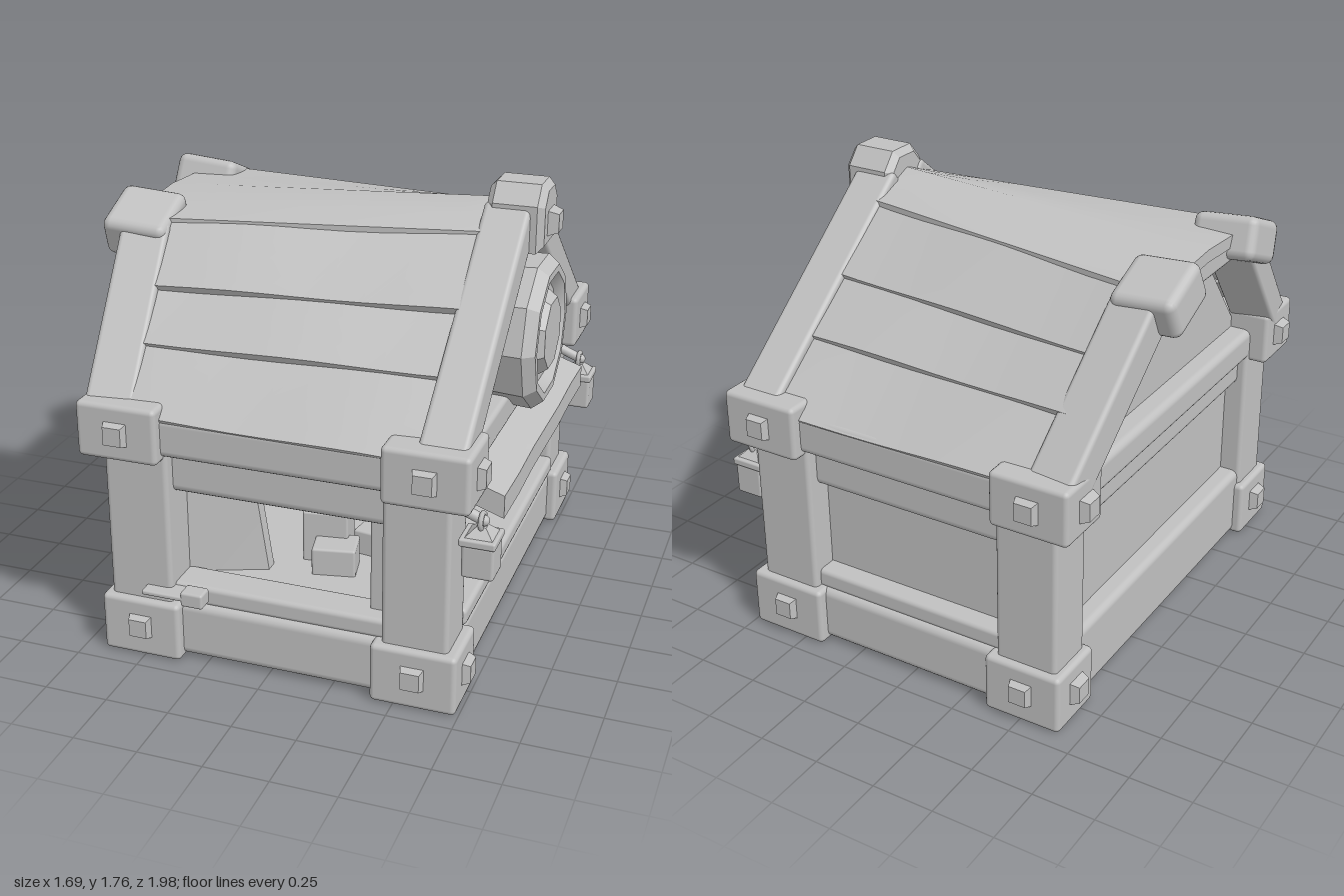
import * as THREE from 'three';
import { toCreasedNormals } from 'three/addons/utils/BufferGeometryUtils.js';
import { RoundedBoxGeometry } from 'three/addons/geometries/RoundedBoxGeometry.js';

const clay = new THREE.MeshStandardMaterial({ color: 0xc0c0c0 });
clay.name = 'clay grey';
const { lerp } = THREE.MathUtils;

export function createModel() {
  const model = new THREE.Group();
  model.name = 'marketStall';

  const add = (name, geometry) => {
    const mesh = new THREE.Mesh(geometry, clay);
    mesh.name = name;
    model.add(mesh);
    return mesh;
  };
  // Soft-edged box given by its limits on each axis
  const block = (name, x0, x1, y0, y1, z0, z1, r = 0.015) => {
    const mesh = add(name, new RoundedBoxGeometry(x1 - x0, y1 - y0, z1 - z0, 2, r));
    mesh.position.set((x0 + x1) / 2, (y0 + y1) / 2, (z0 + z1) / 2);
    return mesh;
  };
  // Same box, mirrored to the other side when s = -1
  const sideBlock = (name, s, x0, x1, y0, y1, z0, z1, r) =>
    block(name, x0, x1, y0, y1, s > 0 ? z0 : -z1, s > 0 ? z1 : -z0, r);
  // Timber running between two points
  const beam = (name, a, b, w, h) => {
    const from = new THREE.Vector3(...a), to = new THREE.Vector3(...b);
    const mesh = add(name, new RoundedBoxGeometry(w, h, from.distanceTo(to), 2, 0.02));
    mesh.position.copy(from).lerp(to, 0.5);
    mesh.lookAt(to);
    return mesh;
  };
  // Square peg with a chamfered head, pointing along an axis
  const peg = (x, y, z, dx, dz) => {
    const g = new THREE.CylinderGeometry(0.05, 0.076, 0.06, 4).rotateY(Math.PI / 4);
    const mesh = add('peg', toCreasedNormals(g, 0.4));
    mesh.position.set(x, y, z);
    mesh.quaternion.setFromUnitVectors(new THREE.Vector3(0, 1, 0), new THREE.Vector3(dx, 0, dz));
  };
  // Box reshaped by a rule
  const morph = (name, nx, nz, rule) => {
    const g = new THREE.BoxGeometry(1, 1, 1, nx, 1, nz);
    const p = g.attributes.position;
    for (let i = 0; i < p.count; i++) p.setXYZ(i, ...rule(p.getX(i) + 0.5, p.getY(i), p.getZ(i)));
    g.computeVertexNormals();
    add(name, g);
  };
  // Panel drawn in z and y, with its outer face at x
  const panel = (name, points, x, options) => {
    const shape = new THREE.Shape(points.map(([z, y]) => new THREE.Vector2(z, y)));
    add(name, new THREE.ExtrudeGeometry(shape, options).rotateY(-Math.PI / 2).translate(x, 0, 0));
  };

  // Base and counter
  block('floor', -0.6, 0.66, 0.005, 0.29, -0.84, 0.84);
  block('counterBase', 0.5, 0.7, 0.005, 0.235, -0.72, 0.72, 0.03);
  block('counterTop', 0.36, 0.71, 0.24, 0.31, -0.7, 0.7, 0.02);
  block('rearSill', -0.63, -0.5, 0.005, 0.3, -0.72, 0.72, 0.03);

  // Corner frames
  for (const s of [1, -1]) {
    for (const [x0, x1, out] of [[-0.67, -0.35, -1], [0.41, 0.74, 1]]) {
      const mid = (x0 + x1) / 2;
      sideBlock('footBlock', s, x0, x1, 0, 0.24, 0.67, 0.93, 0.02);
      sideBlock('post', s, mid - 0.13, mid + 0.125, 0.2, 0.88, 0.69, 0.9, 0.02);
      const c0 = out < 0 ? -0.715 : 0.455, c1 = out < 0 ? -0.395 : 0.78;
      sideBlock('eaveBlock', s, c0, c1, 0.83, 1.05, 0.71, 0.96, 0.02);
      peg(mid, 0.13, s * 0.93, 0, s);
      peg((c0 + c1) / 2, 0.94, s * 0.96, 0, s);
      peg(out < 0 ? x0 - 0.005 : x1, 0.13, s * 0.8, out, 0);
      peg(out < 0 ? c0 - 0.005 : c1, 0.94, s * 0.83, out, 0);
    }
    // Long side rails
    sideBlock('lowerRail', s, -0.4, 0.45, 0.01, 0.24, 0.72, 0.89, 0.035);
    sideBlock('sill', s, -0.4, 0.46, 0.23, 0.31, 0.72, 0.87, 0.02);
    sideBlock('upperRail', s, -0.42, 0.48, 0.68, 0.86, 0.74, 0.85, 0.035);
    sideBlock('eaveBeam', s, -0.45, 0.52, 0.85, 1.01, 0.77, 0.92, 0.03);

    // Hanging lantern
    const z = s * 0.8;
    beam('lanternBracket', [0.66, 0.8, z], [0.81, 0.74, z], 0.04, 0.04);
    block('lanternBody', 0.725, 0.845, 0.54, 0.67, z - 0.06, z + 0.06, 0.012);
    block('lanternLid', 0.715, 0.85, 0.665, 0.695, z - 0.068, z + 0.068, 0.008);
    const roof = add('lanternTop', toCreasedNormals(
      new THREE.CylinderGeometry(0.025, 0.075, 0.035, 4).rotateY(Math.PI / 4), 0.4));
    roof.position.set(0.785, 0.71, z);
    const ring = add('lanternRing', new THREE.TorusGeometry(0.03, 0.01, 6, 10).rotateY(Math.PI / 2));
    ring.position.set(0.785, 0.745, z);
  }

  // Walls: closed rear and far side, open window on the near side
  block('farWall', -0.42, 0.5, 0.28, 0.86, -0.79, -0.74, 0.01);
  block('rearWall', -0.55, -0.5, 0.28, 0.88, -0.72, 0.72, 0.01);
  morph('windowPanel', 1, 1, (u, y, z) =>
    [lerp(-0.4, y > 0 ? -0.15 : -0.1, u), y > 0 ? lerp(0.7, 0.62, u) : 0.28, 0.72 + z * 0.05 - u * 0.12]);
  block('windowJamb', 0.37, 0.46, 0.3, 0.7, 0.74, 0.8, 0.01);
  block('windowLatch', -0.49, -0.26, 0.28, 0.3, 0.86, 0.95, 0.008);
  block('latchKnob', -0.33, -0.24, 0.26, 0.32, 0.88, 0.95, 0.01);

  // Goods on the counter
  for (const [z, h] of [[0.42, 0.5], [-0.38, 0.47]]) {
    block('tallCrate', -0.02, 0.16, 0.28, h, z - 0.075, z + 0.075, 0.01).rotation.y = 0.15;
    block('lowCrate', 0.17, 0.37, 0.28, 0.39, z - 0.18, z - 0.02, 0.01).rotation.y = -0.15;
    block('smallCrate', 0.05, 0.22, 0.28, 0.4, z + 0.03, z + 0.17, 0.01).rotation.y = 0.2;
  }

  // Tie beams and rolled awning
  block('frontTieBeam', 0.55, 0.71, 0.84, 0.96, -0.75, 0.75, 0.02);
  block('rearTieBeam', -0.64, -0.5, 0.84, 0.97, -0.75, 0.75, 0.03);
  block('rearUpperRail', -0.6, -0.5, 0.72, 0.85, -0.72, 0.72, 0.03);
  morph('awning', 2, 6, (u, y, z) =>
    [lerp(0.62, 0.825, u), lerp(0.8, 0.73, u) + y * 0.09 + 0.005 * Math.sin(z * 13), z * 1.3]);

  // Gable walls
  const flat = { depth: 0.05, bevelEnabled: false };
  panel('frontGable', [[-0.82, 0.9], [0.82, 0.9], [0.12, 1.55], [-0.12, 1.55]], 0.64, flat);
  panel('rearGable', [[-0.8, 0.9], [0.8, 0.9], [0.34, 1.48], [-0.34, 1.48]], -0.5, flat);

  // Overlapping roof boards on each slope
  const steps = [0, 0.37, 0.66, 1];
  for (const s of [1, -1]) {
    for (let i = 0; i < 3; i++) {
      morph('roofBoard', 10, 2, (u, y, z) => {
        const t = 0.5 - s * z;
        const v = lerp(steps[i] - (i ? 0.01 : 0), steps[i + 1] + 0.01, t);
        const topZ = lerp(0.39, 0.2, u), topY = lerp(1.56, 1.58, u);
        const lift = 0.02 * (1 - t) + 0.004 * Math.sin(u * 9 + i * 2.1 + s) + (y > 0 ? 0.005 : -0.04);
        return [lerp(-0.62 - 0.08 * v, 0.62, u), lerp(lerp(0.98, 0.965, u), topY, v) + lift,
          s * (lerp(0.91, topZ, v) + lift * 0.5)];
      });
    }
    // Rafters and their upper joints
    beam('frontRafter', [0.66, 0.97, s * 0.88], [0.66, 1.64, s * 0.05], 0.18, 0.14);
    beam('frontInnerTrim', [0.65, 0.92, s * 0.78], [0.65, 1.5, s * 0.05], 0.07, 0.07);
    beam('rearRafter', [-0.61, 0.97, s * 0.87], [-0.675, 1.53, s * 0.36], 0.19, 0.14);
    const joint = block('rearJoint', -0.84, -0.58, 1.45, 1.62, s * 0.32 - 0.125, s * 0.32 + 0.125, 0.035);
    joint.rotation.set(s * 0.4, 0, -0.08);
  }

  // Tapered top plate with a low crown
  morph('roofTopPlate', 10, 4, (u, y, z) => [
    lerp(-0.75, 0.62, u),
    lerp(1.575, 1.6, u) + (1 - Math.abs(z) * 2) * lerp(0.025, 0.08, u) + (y > 0 ? 0.005 : -0.045),
    z * 2 * lerp(0.4, 0.2, u)]);
  beam('rearCollarBeam', [-0.68, 1.52, -0.32], [-0.68, 1.52, 0.32], 0.12, 0.1);

  // Ridge block at the front
  panel('ridgeBlock', [[-0.12, 1.51], [0.12, 1.51], [0.12, 1.69], [0.06, 1.76], [-0.06, 1.76], [-0.12, 1.69]], 0.775,
    { depth: 0.17, bevelThickness: 0.025, bevelSize: 0.025, bevelOffset: -0.025, bevelSegments: 1 });
  peg(0.81, 1.61, 0, 1, 0);

  // Round gable medallion
  const profile = [[0.29, -0.1], [0.3, 0.05], [0.265, 0.095], [0.235, 0.095], [0.2, 0.06], [0, 0.06]];
  const medal = new THREE.LatheGeometry(profile.map(([r, y]) => new THREE.Vector2(r, y)), 10);
  add('medallionRing', toCreasedNormals(medal.rotateZ(-Math.PI / 2), 0.5)).position.set(0.73, 1.165, 0);
  const boss = new THREE.CylinderGeometry(0.14, 0.175, 0.05, 8).rotateY(Math.PI / 8).rotateZ(-Math.PI / 2);
  add('medallionBoss', toCreasedNormals(boss, 0.5)).position.set(0.805, 1.165, 0);

  return model;
}
